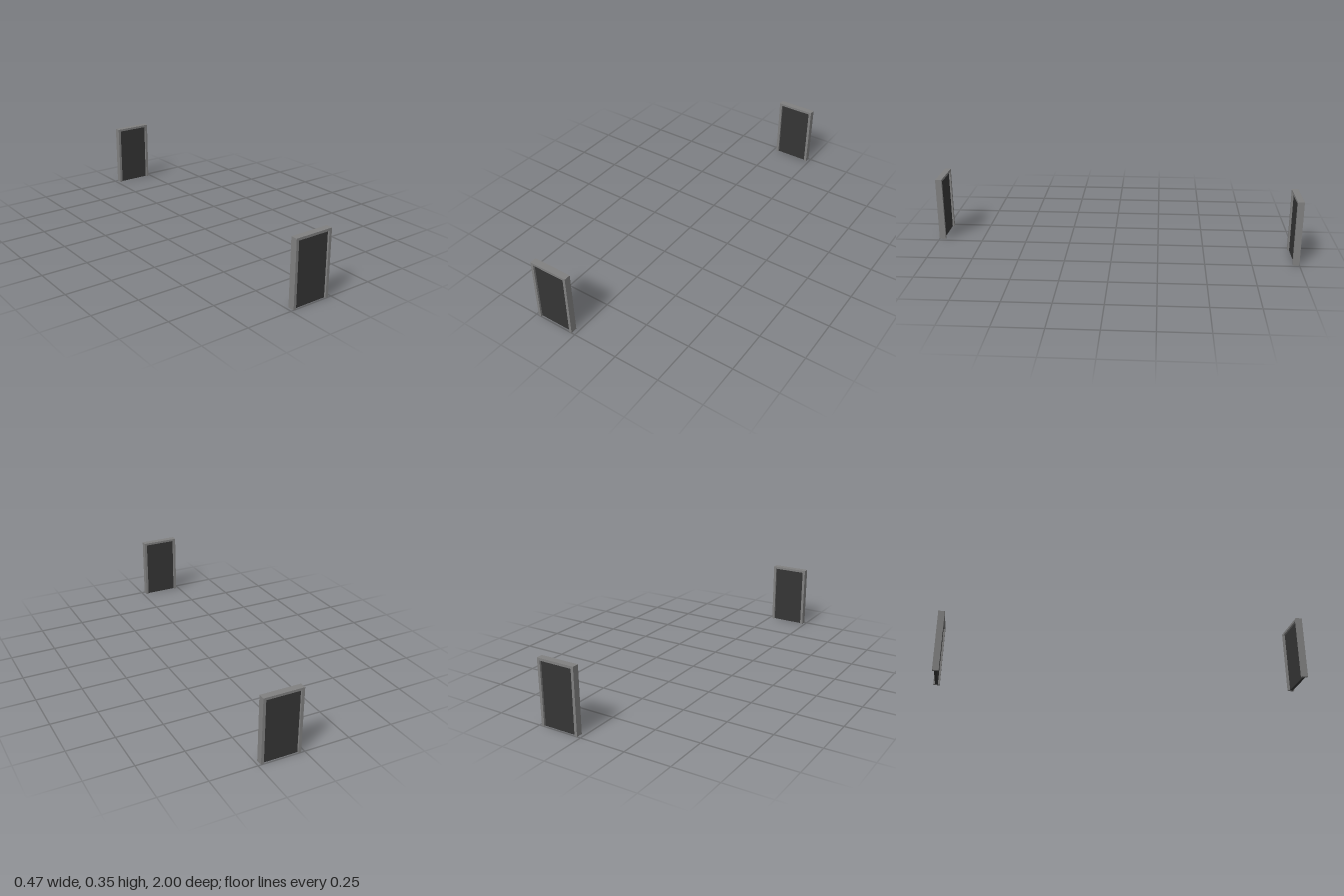
import * as THREE from 'three';

const WIDTH = 0.215, HEIGHT = 0.354, DEPTH = 0.035;
const JAMB = 0.015, LINTEL = 0.013, LEAF_DEPTH = 0.015;

const frameGrey = new THREE.MeshStandardMaterial({ name: 'frame grey', color: 0x808080 });
const leafCharcoal = new THREE.MeshStandardMaterial({ name: 'leaf charcoal', color: 0x353535 });

// Doorway centred on its own x and z, standing on y = 0
function createDoorway(name) {
  const door = new THREE.Group();
  door.name = name;

  // Frame: two jambs and a lintel in one U-shaped outline, open at the floor
  const outer = WIDTH / 2, inner = outer - JAMB, top = HEIGHT - LINTEL;
  const outline = new THREE.Shape([
    [-outer, 0], [-inner, 0], [-inner, top], [inner, top],
    [inner, 0], [outer, 0], [outer, HEIGHT], [-outer, HEIGHT],
  ].map(([x, y]) => new THREE.Vector2(x, y)));
  const frameGeometry = new THREE.ExtrudeGeometry(outline, { depth: DEPTH, bevelEnabled: false });
  frameGeometry.translate(0, 0, -DEPTH / 2);
  const frame = new THREE.Mesh(frameGeometry, frameGrey);
  frame.name = 'doorFrame';

  // Leaf: slab recessed equally from both faces
  const leaf = new THREE.Mesh(new THREE.BoxGeometry(inner * 2, top, LEAF_DEPTH), leafCharcoal);
  leaf.name = 'doorLeaf';
  leaf.position.y = top / 2;

  door.add(frame, leaf);
  return door;
}

export function createModel() {
  const model = new THREE.Group();
  model.name = 'doorPair';

  // Front door on the right, back door on the left, turned to face away
  for (const side of [1, -1]) {
    const door = createDoorway(side > 0 ? 'frontDoor' : 'backDoor');
    door.position.set(-side * 0.1275, 0, side * (1 - DEPTH / 2));
    if (side < 0) door.rotation.y = Math.PI;
    model.add(door);
  }
  return model;
}
